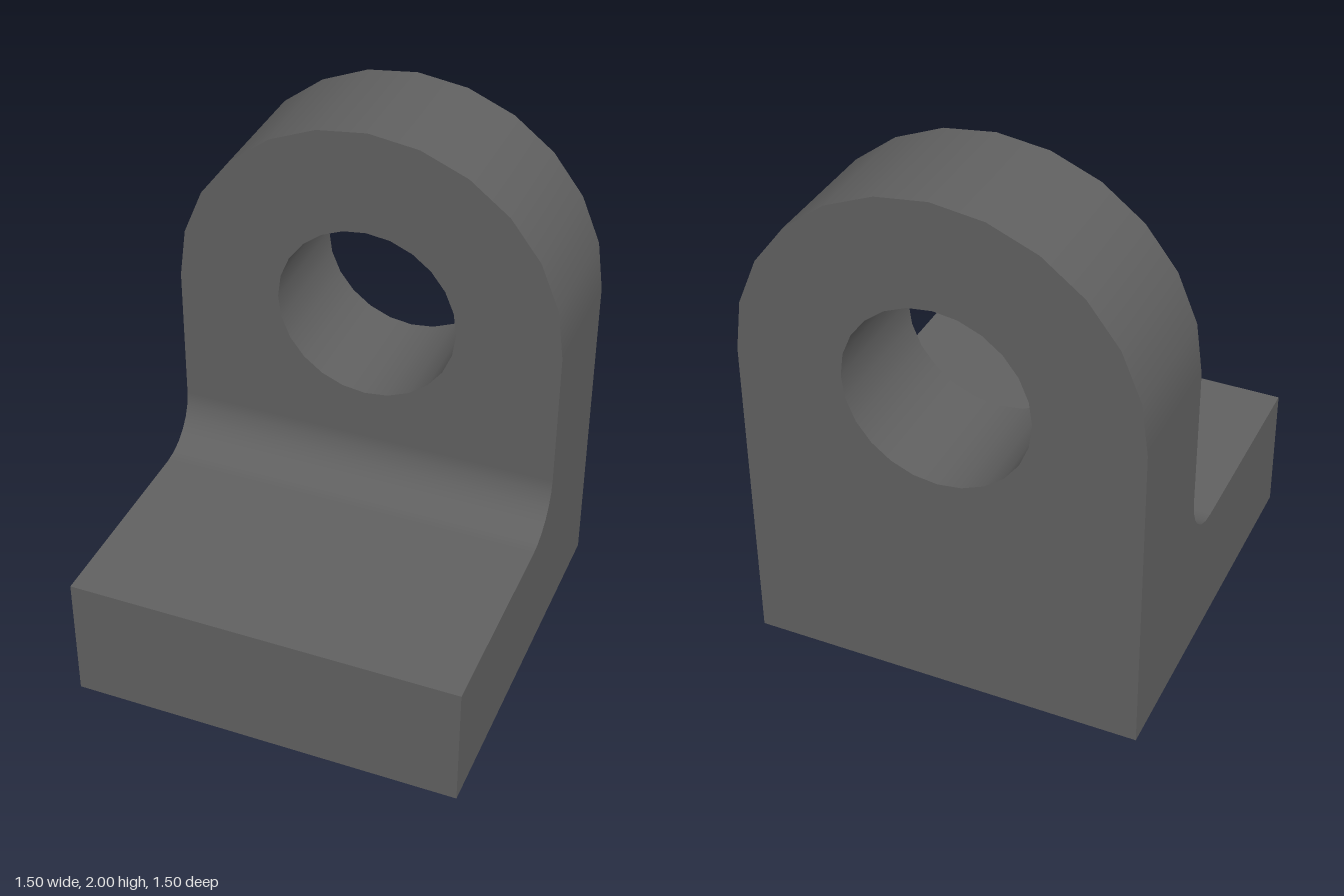
import * as THREE from 'three';

const WIDTH = 1.5, HALF = WIDTH / 2, THICK = 0.5;
const BORE_Y = 1.25, BORE_R = 0.35, FILLET_R = 0.2;

// Points on a circular arc from angle a0 to a1, in 15 degree steps
function arcPoints({ x, y, r }, a0, a1) {
  const n = Math.round(Math.abs(a1 - a0) / (Math.PI / 12));
  return Array.from({ length: n + 1 }, (_, i) => {
    const a = a0 + (a1 - a0) * i / n;
    return new THREE.Vector2(x + r * Math.cos(a), y + r * Math.sin(a));
  });
}

// Extrude along z, with radial normals on the given arcs and flat ones elsewhere
function extrude(shape, depth, arcs) {
  const geometry = new THREE.ExtrudeGeometry(shape, { depth, bevelEnabled: false });
  const { position, normal } = geometry.attributes;
  for (let i = 0; i < position.count; i += 3) {
    if (Math.abs(normal.getZ(i)) > 0.5) continue; // end caps stay flat
    const corners = [i, i + 1, i + 2];
    const arc = arcs.find(({ x, y, r }) => corners.every(
      (c) => Math.abs(Math.hypot(position.getX(c) - x, position.getY(c) - y) - r) < 1e-4));
    if (!arc) continue;
    for (const c of corners) {
      const dx = (position.getX(c) - arc.x) / arc.r, dy = (position.getY(c) - arc.y) / arc.r;
      const sign = Math.sign(dx * normal.getX(c) + dy * normal.getY(c));
      normal.setXYZ(c, sign * dx, sign * dy, 0);
    }
  }
  return geometry;
}

function addPart(group, name, geometry) {
  const mesh = new THREE.Mesh(geometry, new THREE.MeshStandardMaterial({ color: 0x606060 }));
  mesh.name = name;
  group.add(mesh);
}

export function createModel() {
  const group = new THREE.Group();
  group.name = 'bearingBracket';

  // Upright plate: round-topped outline with a through bore
  const crown = { x: 0, y: BORE_Y, r: HALF };
  const bore = { x: 0, y: BORE_Y, r: BORE_R };
  const plate = new THREE.Shape([
    new THREE.Vector2(-HALF, 0),
    new THREE.Vector2(HALF, 0),
    ...arcPoints(crown, 0, Math.PI),
  ]);
  plate.holes.push(new THREE.Path(arcPoints(bore, 0, -2 * Math.PI).slice(0, -1)));
  addPart(group, 'uprightPlate', extrude(plate, THICK, [crown, bore]).translate(0, 0, -HALF));

  // Foot: side profile (z, y) with a concave fillet up to the plate, swept across x
  const front = -HALF + THICK;
  const fillet = { x: front + FILLET_R, y: THICK + FILLET_R, r: FILLET_R };
  const foot = new THREE.Shape([
    new THREE.Vector2(front, 0),
    new THREE.Vector2(HALF, 0),
    new THREE.Vector2(HALF, THICK),
    ...arcPoints(fillet, 1.5 * Math.PI, Math.PI),
  ]);
  addPart(group, 'filletedFoot',
    extrude(foot, WIDTH, [fillet]).translate(0, 0, -HALF).rotateY(-Math.PI / 2));

  return group;
}
